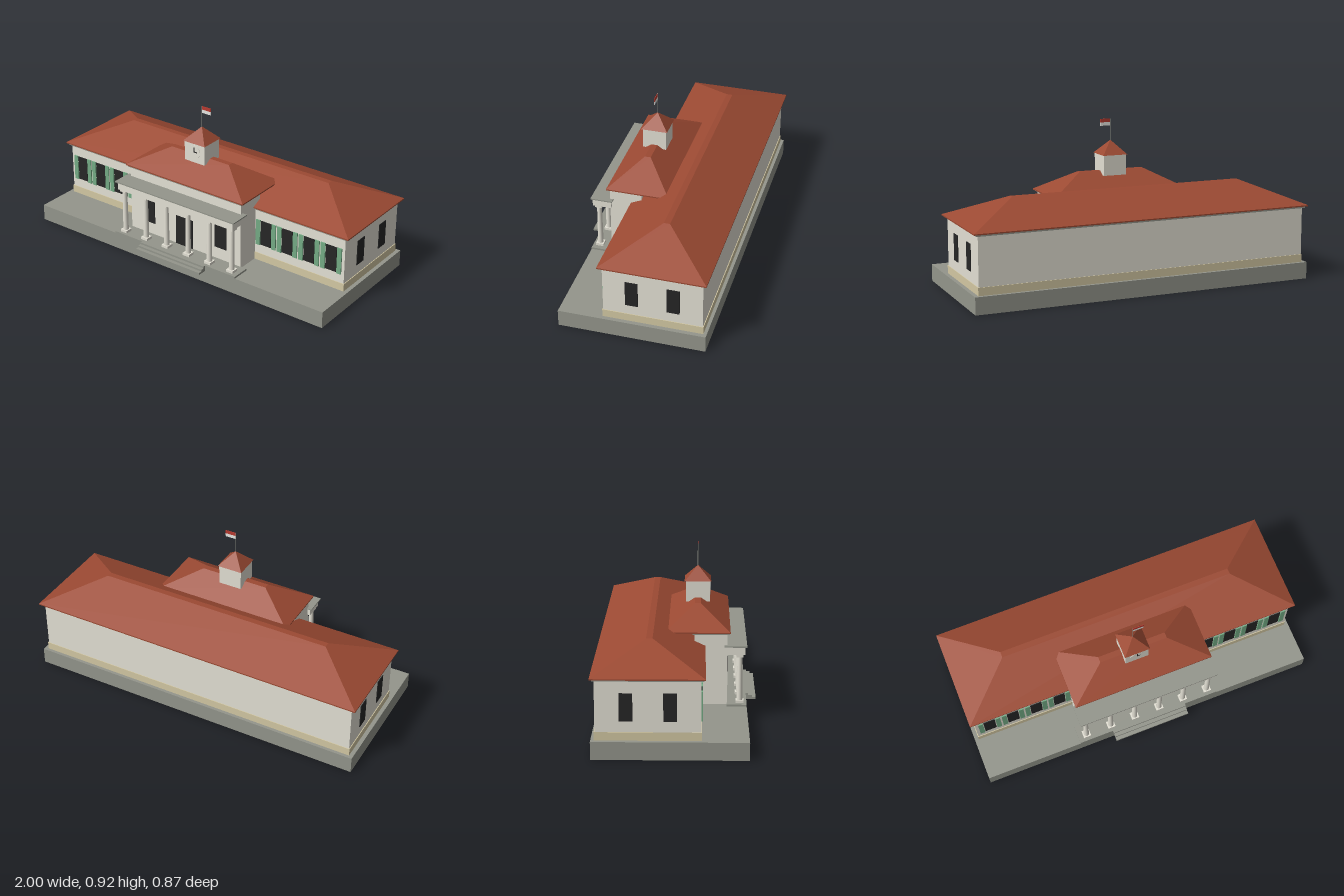
import * as THREE from 'three';

const mat = (name, color, side = THREE.FrontSide) => {
  const m = new THREE.MeshStandardMaterial({ color, side });
  m.name = name;
  return m;
};

export function createModel() {
  const wall = mat('plaster', 0xe4e1d5);
  const stone = mat('grey stone', 0x94968c);
  const tile = mat('roof tile', 0x9c4a33);
  const sand = mat('sand plinth', 0xd4c9a4);
  const dark = mat('dark opening', 0x262626);
  const green = mat('shutter green', 0x74ac85);
  const red = mat('flag red', 0xb83a30);
  const white = mat('flag white', 0xf2f2ee);

  const model = new THREE.Group();
  model.name = 'building';

  const add = (name, geometry, material, parent = model) => {
    const mesh = new THREE.Mesh(geometry, material);
    mesh.name = name;
    parent.add(mesh);
    return mesh;
  };
  // Box given by its limits on each axis
  const box = (name, material, [x0, x1], [y0, y1], [z0, z1], parent) => {
    const mesh = add(name, new THREE.BoxGeometry(x1 - x0, y1 - y0, z1 - z0), material, parent);
    mesh.position.set((x0 + x1) / 2, (y0 + y1) / 2, (z0 + z1) / 2);
    return mesh;
  };
  const sym = (v) => [-v, v];

  // Hipped roof: a box whose top is drawn in to a narrow ridge
  const hipRoof = (name, halfX, halfZ, ridgeX, ridgeZ, y0, y1, z) => {
    const g = new THREE.BoxGeometry(halfX * 2, y1 - y0, halfZ * 2);
    const p = g.attributes.position;
    for (let i = 0; i < p.count; i++) {
      if (p.getY(i) > 0) {
        p.setX(i, Math.sign(p.getX(i)) * ridgeX);
        p.setZ(i, Math.sign(p.getZ(i)) * ridgeZ);
      }
    }
    g.computeVertexNormals();
    add(name, g, tile).position.set(0, (y0 + y1) / 2, z);
  };

  // Terrace and main wing
  box('terrace', stone, sym(1), [0, 0.097], [-0.436, 0.38]);
  box('mainWalls', wall, sym(0.973), [0.097, 0.415], [-0.414, 0.132]);
  box('mainPlinth', sand, sym(0.977), [0.097, 0.142], [-0.418, 0.136]);
  box('mainCornice', stone, sym(0.985), [0.415, 0.425], [-0.426, 0.145]);
  box('mainEave', tile, sym(1), [0.425, 0.432], [-0.437, 0.153]);
  hipRoof('mainRoof', 1, 0.295, 0.695, 0.017, 0.432, 0.56, -0.142);

  // Central hall
  box('hallWalls', wall, sym(0.39), [0.097, 0.497], [0.092, 0.273]);
  box('hallCornice', stone, sym(0.4), [0.497, 0.505], [0.08, 0.284]);
  box('hallEave', tile, sym(0.412), [0.505, 0.512], [-0.07, 0.289]);
  hipRoof('hallRoof', 0.412, 0.1795, 0.2, 0.017, 0.512, 0.623, 0.1095);

  // Door and hall windows
  box('door', dark, sym(0.06), [0.108, 0.288], [0.272, 0.277]);
  for (const s of [-1, 1]) {
    box('hallWindow', dark, [s * 0.255 - 0.04, s * 0.255 + 0.04], [0.18, 0.335], [0.272, 0.277]);
  }

  // Wing windows with shutters, and end windows
  for (const s of [-1, 1]) {
    for (const cx of [0.463, 0.605, 0.747, 0.889]) {
      const x = s * cx;
      box('frontWindow', dark, [x - 0.034, x + 0.034], [0.2, 0.35], [0.131, 0.136]);
      for (const t of [-1, 1]) {
        const c = x + t * 0.052;
        box('shutter', green, [c - 0.014, c + 0.014], [0.196, 0.352], [0.131, 0.139]);
      }
    }
    for (const z of [-0.027, -0.254]) {
      box('endWindow', dark, [s * 0.974 - 0.003, s * 0.974 + 0.003], [0.2, 0.35], [z - 0.035, z + 0.035]);
    }
  }

  // Portico floor, steps, columns and entablature
  box('porchFloor', stone, sym(0.43), [0.09, 0.108], [0.27, 0.38]);
  for (let i = 0; i < 3; i++) {
    const top = 0.108 - i * 0.011;
    box('step', stone, sym(0.227), [top - 0.012, top], [0.37, 0.395 + i * 0.021]);
  }
  for (const x of [-0.38, -0.227, -0.077, 0.077, 0.227, 0.38]) {
    const column = new THREE.Group();
    column.name = 'column';
    column.position.set(x, 0, 0.341);
    model.add(column);
    box('columnBase', wall, sym(0.022), [0.108, 0.123], sym(0.022), column);
    add('columnShaft', new THREE.CylinderGeometry(0.0135, 0.016, 0.247, 16), wall, column).position.y = 0.2465;
    box('columnCapital', wall, sym(0.02), [0.37, 0.386], sym(0.02), column);
  }
  box('entablature', wall, sym(0.406), [0.385, 0.43], [0.265, 0.371]);
  box('porchRoof', stone, sym(0.418), [0.43, 0.437], [0.255, 0.38]);

  // Clock tower
  box('towerWalls', wall, sym(0.069), [0.6, 0.717], [0.041, 0.177]);
  hipRoof('towerRoof', 0.075, 0.075, 0.0005, 0.0005, 0.717, 0.796, 0.109);
  const dial = add('clockFace', new THREE.CylinderGeometry(0.04, 0.04, 0.003, 24), wall);
  dial.rotation.x = Math.PI / 2;
  dial.position.set(0, 0.664, 0.178);
  box('minuteHand', dark, [-0.003, 0.003], [0.664, 0.694], [0.179, 0.181]);
  box('hourHand', dark, [-0.003, 0.02], [0.662, 0.668], [0.179, 0.181]);

  // Flagpole and flag
  add('flagpole', new THREE.CylinderGeometry(0.002, 0.002, 0.13, 8), stone).position.set(0, 0.855, 0.109);
  box('flagUpper', red, [0.001, 0.063], [0.9, 0.92], [0.1075, 0.1105]);
  box('flagLower', white, [0.001, 0.063], [0.88, 0.9], [0.1075, 0.1105]);

  return model;
}
